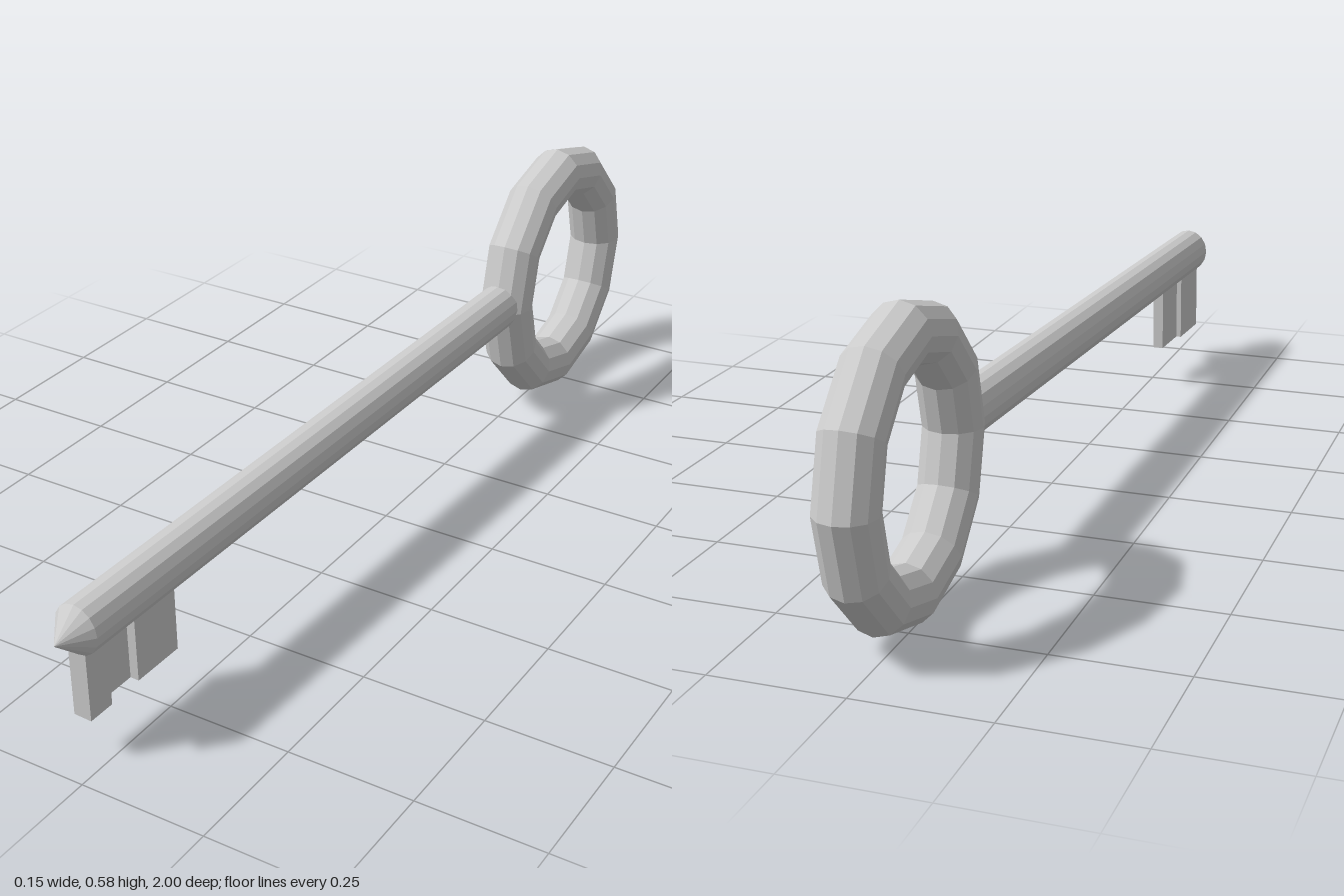
import * as THREE from 'three';

const material = new THREE.MeshStandardMaterial({ color: 0xcccccc, flatShading: true });

function part(name, geometry, parent) {
  const mesh = new THREE.Mesh(geometry, material);
  mesh.name = name;
  parent.add(mesh);
  return mesh;
}

export function createModel() {
  const model = new THREE.Group();
  model.name = 'key';

  // Ring handle, standing in the y-z plane
  const bow = part('ringHandle', new THREE.TorusGeometry(0.232, 0.057, 12, 12), model);
  bow.scale.x = 0.975;
  bow.rotation.y = Math.PI / 2;
  bow.position.set(0.016, 0.289, -0.718);

  // Slightly tilted blade; its local +z runs towards the tip
  const blade = new THREE.Group();
  blade.name = 'blade';
  blade.position.set(-0.031, 0.272, 0.945);
  const direction = new THREE.Vector3(-0.044, -0.025, 1.385).normalize();
  blade.quaternion.setFromUnitVectors(new THREE.Vector3(0, 0, 1), direction);
  model.add(blade);

  // Round shaft and pointed tip, a little narrower than tall
  const sides = 16, length = 1.425, tipLength = 0.055;
  const shaft = part('shaft', new THREE.CylinderGeometry(0.05, 0.05, length, sides)
    .rotateX(Math.PI / 2).translate(0, 0, -length / 2), blade);
  const tip = part('tip', new THREE.ConeGeometry(0.05, tipLength, sides, 1, true)
    .rotateX(Math.PI / 2).translate(0, 0, tipLength / 2), blade);
  shaft.scale.x = tip.scale.x = 0.91;

  // Stepped bit: plan outline (across, distance back) extruded upwards
  const outline = [
    [-0.022, 0], [0.015, 0], [0.015, 0.055], [-0.006, 0.055], [-0.006, 0.13],
    [0.012, 0.13], [0.012, 0.24], [-0.011, 0.24], [-0.011, 0.13], [-0.022, 0.13],
  ].map(([x, s]) => new THREE.Vector2(x, s));
  const bit = part('bit', new THREE.ExtrudeGeometry(new THREE.Shape(outline),
    { depth: 0.165, bevelEnabled: false })
    .rotateX(-Math.PI / 2).translate(0, -0.185, 0), blade);
  bit.rotation.z = -0.015;

  return model;
}
